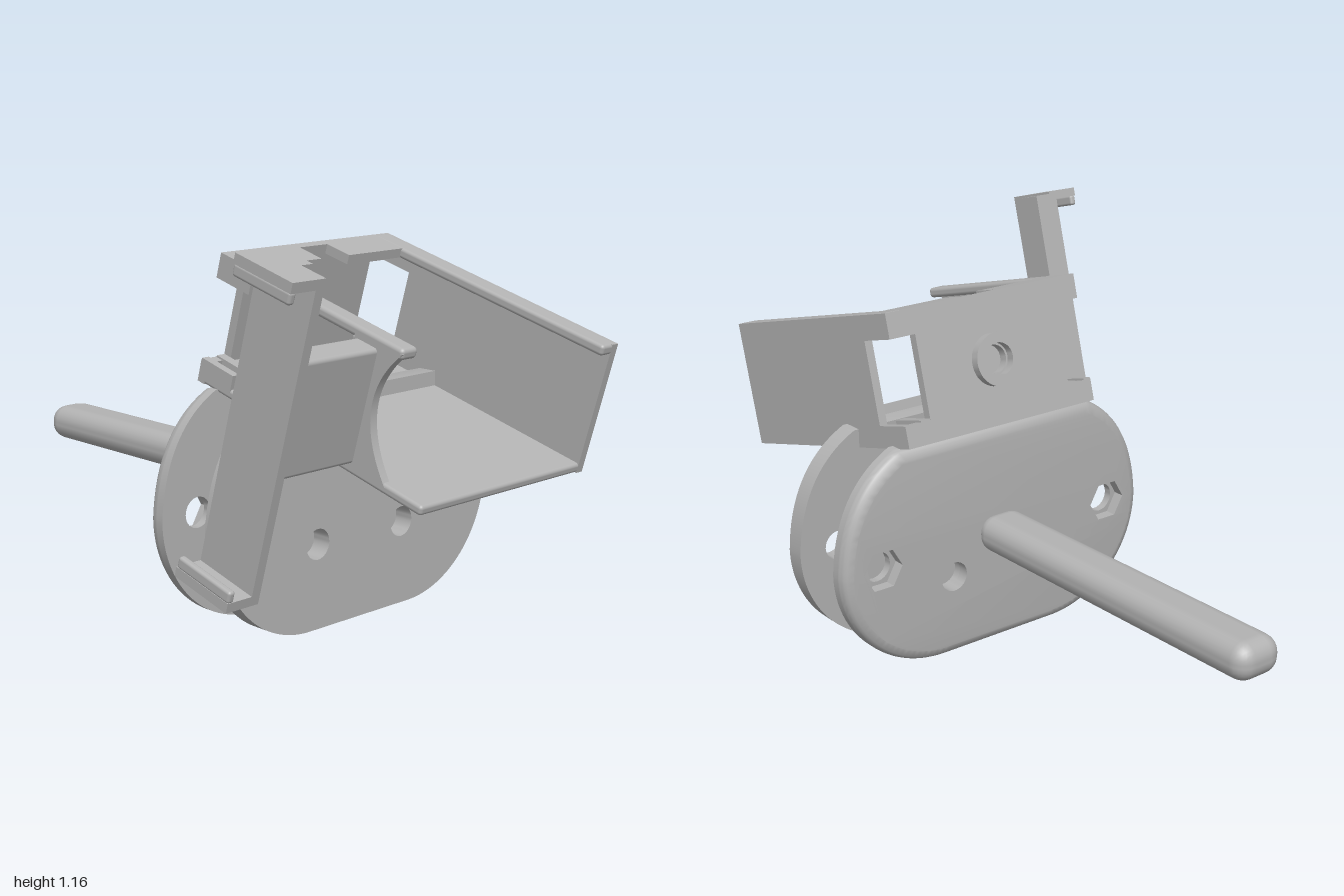
import * as THREE from 'three';
import { toCreasedNormals } from 'three/addons/utils/BufferGeometryUtils.js';
import { RoundedBoxGeometry } from 'three/addons/geometries/RoundedBoxGeometry.js';

const grey = new THREE.MeshStandardMaterial({ color: 0xb2b2b2 });
grey.name = 'grey plastic';

function add(parent, name, geometry) {
  const mesh = new THREE.Mesh(geometry, grey);
  mesh.name = name;
  parent.add(mesh);
  return mesh;
}

// Box given by its two extreme corners; r rounds the edges
function block(parent, name, [x0, x1], [y0, y1], [z0, z1], r = 0) {
  const size = [x1 - x0, y1 - y0, z1 - z0];
  const geo = r ? new RoundedBoxGeometry(...size, 3, r) : new THREE.BoxGeometry(...size);
  geo.translate((x0 + x1) / 2, (y0 + y1) / 2, (z0 + z1) / 2);
  return add(parent, name, geo);
}

const polygon = (points) => new THREE.Shape(points.map((p) => new THREE.Vector2(...p)));

function extrude(shape, depth, steps = 1) {
  return new THREE.ExtrudeGeometry(shape, { depth, steps, bevelEnabled: false, curveSegments: 24 });
}

function hole(shape, x, y, r, sides = 32) {
  const pts = [];
  for (let i = 0; i < sides; i++) {
    const a = (i / sides) * Math.PI * 2;
    pts.push(new THREE.Vector2(x + r * Math.cos(a), y + r * Math.sin(a)));
  }
  shape.holes.push(new THREE.Path(pts));
}

const CX = 0.135;
const CY = 0.34;
const HOLES = [[-0.28, 0.34, true], [-0.04, 0.25], [0.305, 0.25], [0.55, 0.34, true]];

// Rounded clamp plate outline with four bolt holes
function plateShape(hexPockets) {
  const s = new THREE.Shape();
  s.moveTo(-0.07, 0);
  s.lineTo(0.34, 0);
  s.absarc(0.34, CY, 0.34, -Math.PI / 2, 0, false);
  s.quadraticCurveTo(0.665, 0.59, 0.48, 0.68);
  s.lineTo(-0.21, 0.68);
  s.quadraticCurveTo(-0.395, 0.59, -0.41, CY);
  s.absarc(-0.07, CY, 0.34, Math.PI, Math.PI * 1.5, false);
  for (const [x, y, outer] of HOLES) {
    if (outer && hexPockets) hole(s, x, y, 0.065, 6);
    else hole(s, x, y, 0.045);
  }
  return s;
}

// Rear layer of the back plate: outer rim rounded toward the back
function roundedRear(depth) {
  const geo = extrude(plateShape(true), depth, 5);
  const p = geo.attributes.position;
  for (let i = 0; i < p.count; i++) {
    const x = p.getX(i);
    const y = p.getY(i);
    if (HOLES.some(([hx, hy]) => Math.hypot(x - hx, y - hy) < 0.08)) continue;
    const t = 1 - p.getZ(i) / depth;
    const inset = 0.03 * (1 - Math.sqrt(Math.max(0, 1 - t * t)));
    p.setX(i, CX + (x - CX) * (1 - inset / 0.545));
    p.setY(i, CY + (y - CY) * (1 - inset / 0.34));
  }
  return toCreasedNormals(geo, 0.6);
}

function buildClamp(parent) {
  add(parent, 'frontPlate', toCreasedNormals(extrude(plateShape(false), 0.06), 0.5)).position.z = 0.325;
  add(parent, 'backPlateInner', toCreasedNormals(extrude(plateShape(false), 0.025), 0.5)).position.z = 0.125;
  add(parent, 'backPlateOuter', roundedRear(0.035)).position.z = 0.09;
  block(parent, 'rod', [0.057, 0.21], [0.3, 0.41], [-1, 0.12], 0.05);
}

// Open tray, in its own untilted frame with the front bottom edge at the origin
function buildTray(tray) {
  const H = 0.383;
  const B = -0.863;
  block(tray, 'floor', [-0.205, 0.465], [0, 0.028], [B, 0], 0.01);

  // Left wall with a notch at its rear corner
  const wall = polygon([
    [B, 0], [0, 0], [0, H], [B, H], [B, 0.31], [-0.73, 0.31], [-0.73, 0.065], [B, 0.065],
  ]);
  const wallGeo = extrude(wall, 0.025);
  wallGeo.rotateY(-Math.PI / 2);
  add(tray, 'leftWall', wallGeo).position.x = 0.465;
  block(tray, 'leftLip', [0.4, 0.463], [H - 0.03, H + 0.001], [B + 0.002, 0], 0.01);

  // Back wall, narrowed between its top and bottom strips
  const back = polygon([
    [-0.205, 0], [0.465, 0], [0.465, 0.065], [0.38, 0.065], [0.38, 0.31], [0.465, 0.31],
    [0.465, H], [-0.205, H], [-0.205, 0.31], [-0.12, 0.31], [-0.12, 0.065], [-0.205, 0.065],
  ]);
  hole(back, 0.13, 0.19, 0.042);
  add(tray, 'backWall', toCreasedNormals(extrude(back, 0.028), 0.5)).position.z = B;

  // Raised ring around the hole
  const ring = new THREE.Shape();
  ring.absarc(0, 0, 0.078, 0, Math.PI * 2, false);
  hole(ring, 0, 0, 0.048);
  add(tray, 'screwRing', toCreasedNormals(extrude(ring, 0.03), 0.5)).position.set(0.13, 0.19, B - 0.027);

  // Rear top lip with a central notch
  const lip = polygon([
    [-0.205, B], [0.465, B], [0.465, -0.745], [0.18, -0.745], [0.18, -0.835],
    [0.07, -0.835], [0.07, -0.745], [-0.205, -0.745],
  ]);
  const lipGeo = extrude(lip, 0.028);
  lipGeo.rotateX(Math.PI / 2);
  add(tray, 'backLip', lipGeo).position.y = H;

  block(tray, 'backSill', [-0.12, 0.38], [0.02, 0.06], [-0.84, -0.76]);
  for (const [a, b] of [[-0.205, -0.18], [-0.15, -0.12], [0.38, 0.41]]) {
    block(tray, 'cornerSill', [a, b], [0.01, 0.07], [B + 0.002, -0.73]);
  }

  // Right side: slim top rail, rear cheek and curved web joining the arm
  block(tray, 'rightRail', [-0.205, -0.145], [H - 0.032, H], [B, -0.17], 0.012);
  block(tray, 'rightCheek', [-0.205, -0.18], [0.31, H - 0.005], [B + 0.002, -0.73]);
  const web = new THREE.Shape();
  web.moveTo(-0.335, 0.01);
  web.lineTo(-0.12, 0.01);
  web.quadraticCurveTo(-0.31, 0.19, -0.17, 0.37);
  web.lineTo(-0.335, 0.37);
  const webGeo = extrude(web, 0.025);
  webGeo.rotateY(-Math.PI / 2);
  add(tray, 'armWeb', toCreasedNormals(webGeo, 0.5)).position.x = -0.18;
}

// Side arm with its upright clip bar
function buildArm(tray) {
  block(tray, 'arm', [-0.54, -0.19], [0.028, 0.352], [-0.332, -0.25], 0.012);
  block(tray, 'barRidge', [-0.578, -0.522], [-0.228, 0.618], [-0.332, -0.235]);
  block(tray, 'barPlate', [-0.603, -0.576], [-0.233, 0.625], [-0.332, -0.137]);
  const mid = 0.196;
  for (const s of [1, -1]) {
    const span = (a, b) => [mid + s * a, mid + s * b].sort((p, q) => p - q);
    block(tray, 'clip', [-0.683, -0.6], span(0.402, 0.429), [-0.332, -0.137]);
    block(tray, 'clipHook', [-0.683, -0.662], span(0.372, 0.405), [-0.332, -0.137], 0.008);
  }
}

export function createModel() {
  const model = new THREE.Group();
  model.name = 'clampMount';
  buildClamp(model);

  const tray = new THREE.Group();
  tray.name = 'tiltedTray';
  tray.position.set(0, 0.47, 0.9);
  tray.rotation.x = Math.PI / 12;
  buildTray(tray);
  buildArm(tray);
  model.add(tray);
  return model;
}
